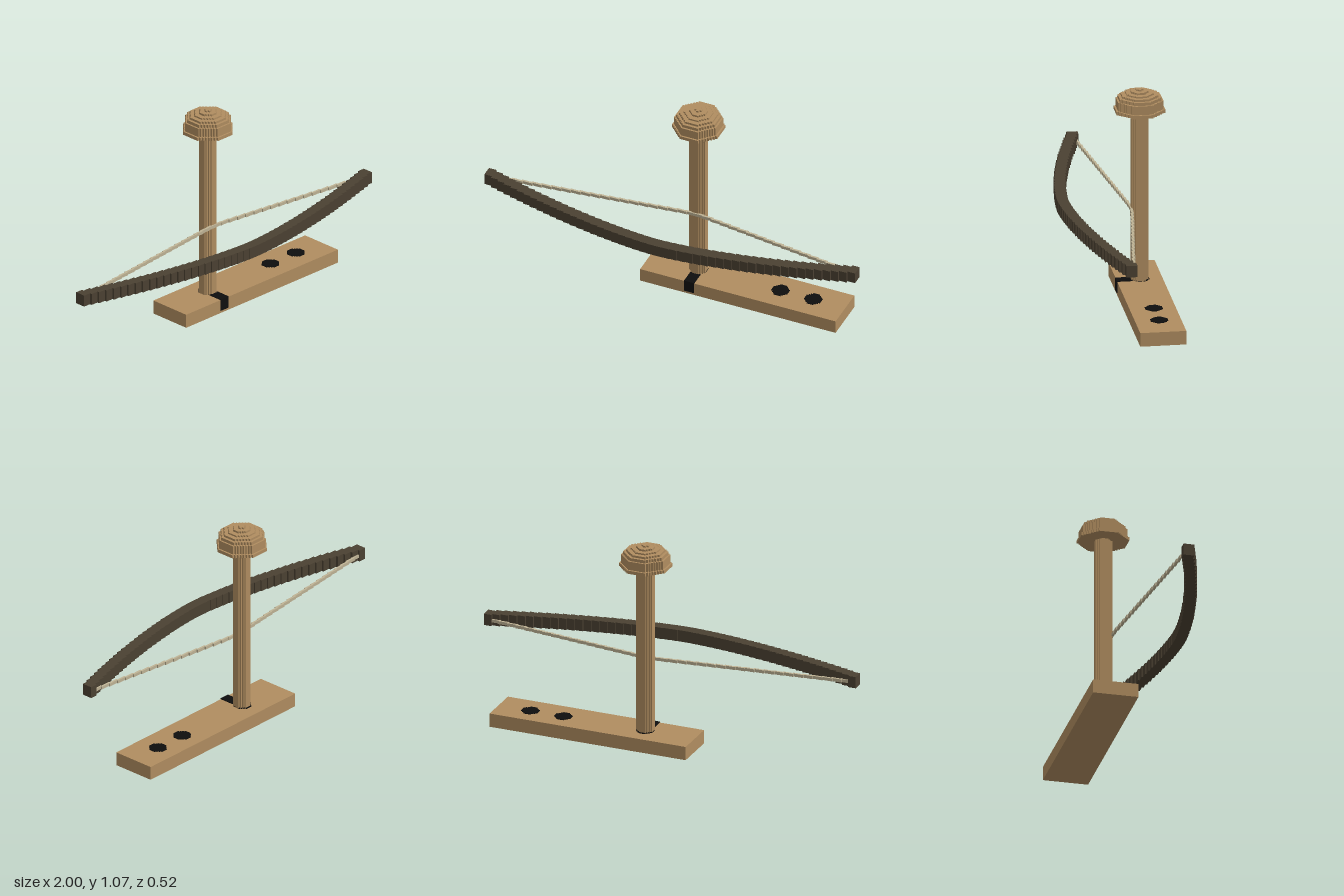
import * as THREE from 'three';

const mat = (name, color) => {
  const m = new THREE.MeshStandardMaterial({ color });
  m.name = name;
  return m;
};

export function createModel() {
  const root = new THREE.Group();
  root.name = 'bowDrill';
  const wood = mat('pale wood', 0xb08d60);
  const darkWood = mat('dark wood', 0x4b4132);
  const cord = mat('cord', 0xbfb395);
  const char = mat('char black', 0x0e0e0e);
  const CX = 0.065, CZ = -0.14, TOP = 0.071;

  const add = (parent, name, geo, material, x, y, z) => {
    const mesh = new THREE.Mesh(geo, material);
    mesh.name = name;
    mesh.position.set(x, y, z);
    parent.add(mesh);
    return mesh;
  };
  const group = (name) => {
    const g = new THREE.Group();
    g.name = name;
    root.add(g);
    return g;
  };

  // Upright octagonal prism whose diagonal sides are cut in small steps
  const steppedOctagon = (r, height, steps) => {
    const b = r * 0.414, d = (r - b) / steps, pts = [];
    for (let q = 0; q < 4; q++) {
      const c = [1, 0, -1, 0][q], s = [0, 1, 0, -1][q];
      for (let i = 0; i <= steps; i++) {
        const u = r - d * i, v = b + d * i;
        pts.push(new THREE.Vector2(u * c - v * s, u * s + v * c));
        if (i < steps) pts.push(new THREE.Vector2((u - d) * c - v * s, (u - d) * s + v * c));
      }
    }
    const geo = new THREE.ExtrudeGeometry(new THREE.Shape(pts), { depth: height, bevelEnabled: false });
    return geo.rotateX(-Math.PI / 2);
  };

  // Hearth board with burnt sockets and a notch
  const board = group('hearthBoard');
  add(board, 'plank', new THREE.BoxGeometry(1.055, TOP, 0.23), wood, 0.3275, TOP / 2, CZ);
  for (const x of [CX, 0.505, 0.682]) {
    add(board, 'socket', steppedOctagon(0.043, 0.004, 3), char, x, TOP, -0.145);
  }
  add(board, 'notchFront', new THREE.BoxGeometry(0.054, 0.062, 0.004), char, CX, 0.044, -0.024);
  add(board, 'notchTop', new THREE.BoxGeometry(0.054, 0.004, 0.08), char, CX, TOP + 0.002, -0.062);

  // Spindle
  add(root, 'spindle', steppedOctagon(0.043, 0.955 - TOP, 3), wood, CX, TOP, CZ);

  // Domed hand hold built from stacked layers: radius, bottom, top, steps
  const handHold = group('handHold');
  const layers = [
    [0.122, 0.953, 0.97, 7], [0.113, 0.97, 1.015, 7], [0.104, 1.015, 1.031, 6],
    [0.09, 1.031, 1.042, 5], [0.068, 1.042, 1.05, 4], [0.043, 1.05, 1.06, 3], [0.018, 1.06, 1.068, 1],
  ];
  for (const [r, y0, y1, steps] of layers) {
    add(handHold, 'layer', steppedOctagon(r, y1 - y0, steps), wood, CX, y0, CZ);
  }

  // Curved bow, a row of short blocks
  const bow = group('bow');
  const blocks = 50, w = 2 / blocks;
  for (let i = 0; i < blocks; i++) {
    const x = -1 + w * (i + 0.5);
    const z = 0.232 - 0.2 * Math.pow(Math.abs(x), 1.6);
    add(bow, 'bowBlock', new THREE.BoxGeometry(w, 0.06, 0.056), darkWood, x, 0.448, z);
  }

  // Bowstring bent around the front of the spindle, stepped in short pieces
  const string = group('bowstring');
  const path = [[-0.97, 0.025], [0.02, -0.096], [0.11, -0.096], [0.97, 0.025]];
  for (let k = 0; k < 3; k++) {
    const [x0, z0] = path[k], [x1, z1] = path[k + 1];
    const n = Math.max(1, Math.round((x1 - x0) / 0.05)), len = (x1 - x0) / n;
    for (let i = 0; i < n; i++) {
      const t = (i + 0.5) / n;
      add(string, 'cordPiece', new THREE.BoxGeometry(len + 0.008, 0.016, 0.011), cord,
        x0 + (x1 - x0) * t, 0.444, z0 + (z1 - z0) * t);
    }
  }
  return root;
}
